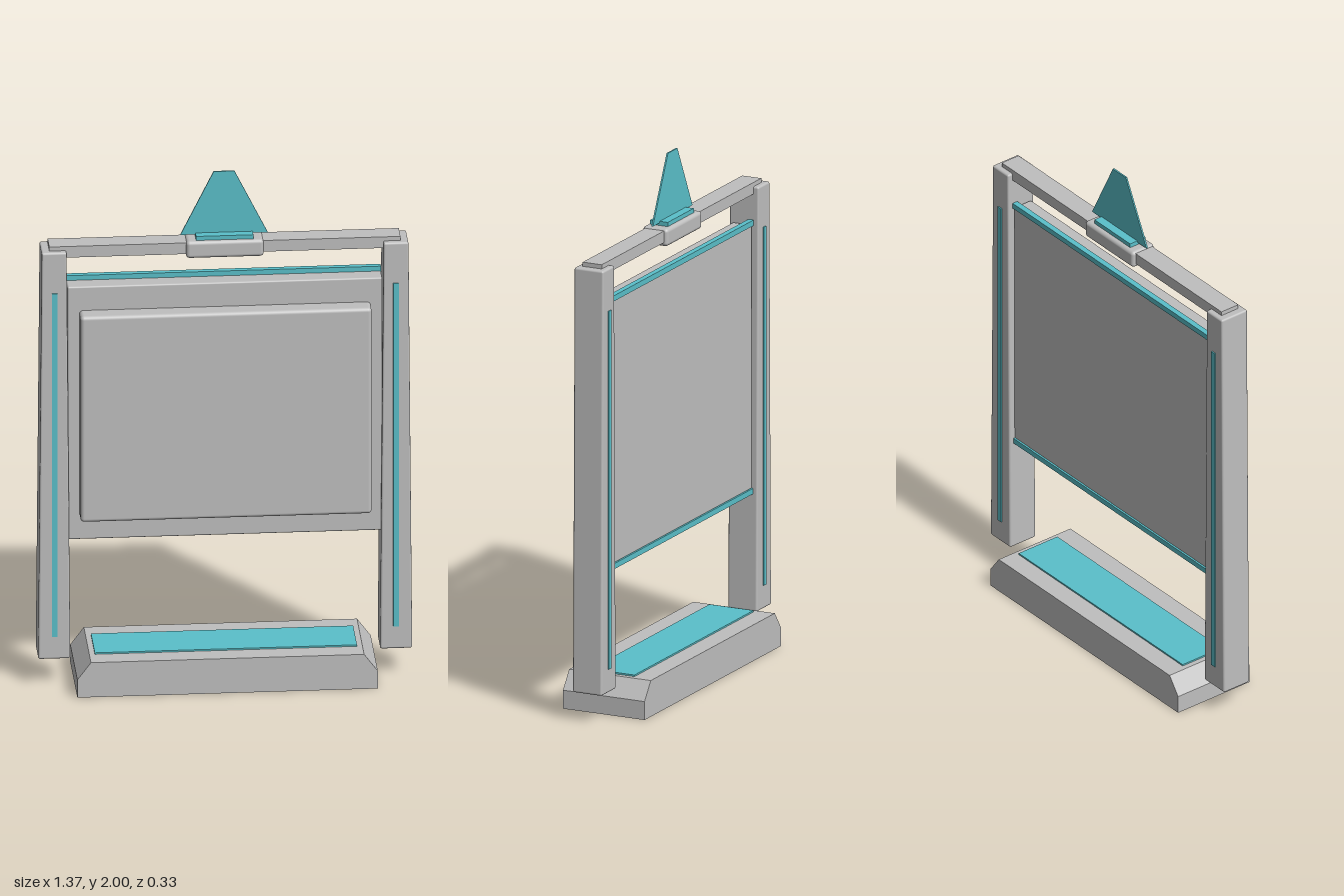
import * as THREE from 'three';
import { RoundedBoxGeometry } from 'three/addons/geometries/RoundedBoxGeometry.js';

const grey = new THREE.MeshStandardMaterial({ color: 0xbfbfbf });
grey.name = 'greyMetal';
const cyan = new THREE.MeshStandardMaterial({ color: 0x5ac0ca });
cyan.name = 'cyanGlow';

export function createModel() {
  const model = new THREE.Group();
  model.name = 'displayFrame';

  const add = (name, geometry, material) => {
    const mesh = new THREE.Mesh(geometry, material);
    mesh.name = name;
    model.add(mesh);
    return mesh;
  };
  // Box given by its limits on each axis, rounded when r > 0
  const box = (name, material, [x0, x1], [y0, y1], [z0, z1], r = 0) => {
    const size = [x1 - x0, y1 - y0, z1 - z0];
    const g = r ? new RoundedBoxGeometry(...size, 3, r) : new THREE.BoxGeometry(...size);
    g.translate((x0 + x1) / 2, (y0 + y1) / 2, (z0 + z1) / 2);
    return add(name, g, material);
  };
  // Outline in x and y, extruded evenly about z = 0
  const slab = (name, material, points, depth) => {
    const shape = new THREE.Shape(points.map(([x, y]) => new THREE.Vector2(x, y)));
    const g = new THREE.ExtrudeGeometry(shape, { depth, bevelEnabled: false });
    g.translate(0, 0, -depth / 2);
    return add(name, g, material);
  };

  // Base with sloping upper ends and its light strip
  slab('base', grey, [[-0.55, 0], [0.55, 0], [0.55, 0.07], [0.5, 0.137], [-0.5, 0.137], [-0.55, 0.07]], 0.334);
  box('baseLight', cyan, [-0.48, 0.48], [0.136, 0.143], [-0.09, 0.09]);

  // Tapered posts with light strips on front and back
  for (const [side, s] of [['left', 1], ['right', -1]]) {
    const g = new RoundedBoxGeometry(0.118, 1.61, 0.12, 2, 0.008);
    const p = g.attributes.position;
    for (let i = 0; i < p.count; i++) {
      const t = p.getY(i) / 1.61 + 0.5;
      p.setX(i, p.getX(i) * (1 - 0.23 * t));
    }
    g.translate(s * 0.626, 0.915, 0);
    add(side + 'Post', g, grey);
    for (const [face, f] of [['Front', 1], ['Back', -1]]) {
      const z = f * 0.061;
      box(side + 'Post' + face + 'Light', cyan,
        [s * 0.625 - 0.01, s * 0.625 + 0.01], [0.2, 1.56], [z - 0.004, z + 0.004]);
    }
  }

  // Board, raised front panel and edge lights
  box('board', grey, [-0.576, 0.576], [0.575, 1.576], [-0.036, 0.043], 0.006);
  box('frontPanel', grey, [-0.533, 0.533], [0.667, 1.482], [0.02, 0.108], 0.014);
  box('upperEdgeLight', cyan, [-0.576, 0.576], [1.574, 1.595], [-0.042, -0.02]);
  box('lowerEdgeLight', cyan, [-0.576, 0.576], [0.556, 0.577], [-0.042, -0.02]);

  // Top bar, bracket and fin
  box('topBar', grey, [-0.643, 0.643], [1.692, 1.736], [-0.039, 0.039]);
  box('bracket', grey, [-0.142, 0.142], [1.676, 1.743], [-0.053, 0.05], 0.014);
  box('bracketLight', cyan, [-0.105, 0.105], [1.74, 1.759], [-0.036, 0.036]);
  slab('fin', cyan, [[-0.16, 1.753], [0.16, 1.753], [0.038, 2], [-0.038, 2]], 0.006);

  return model;
}
